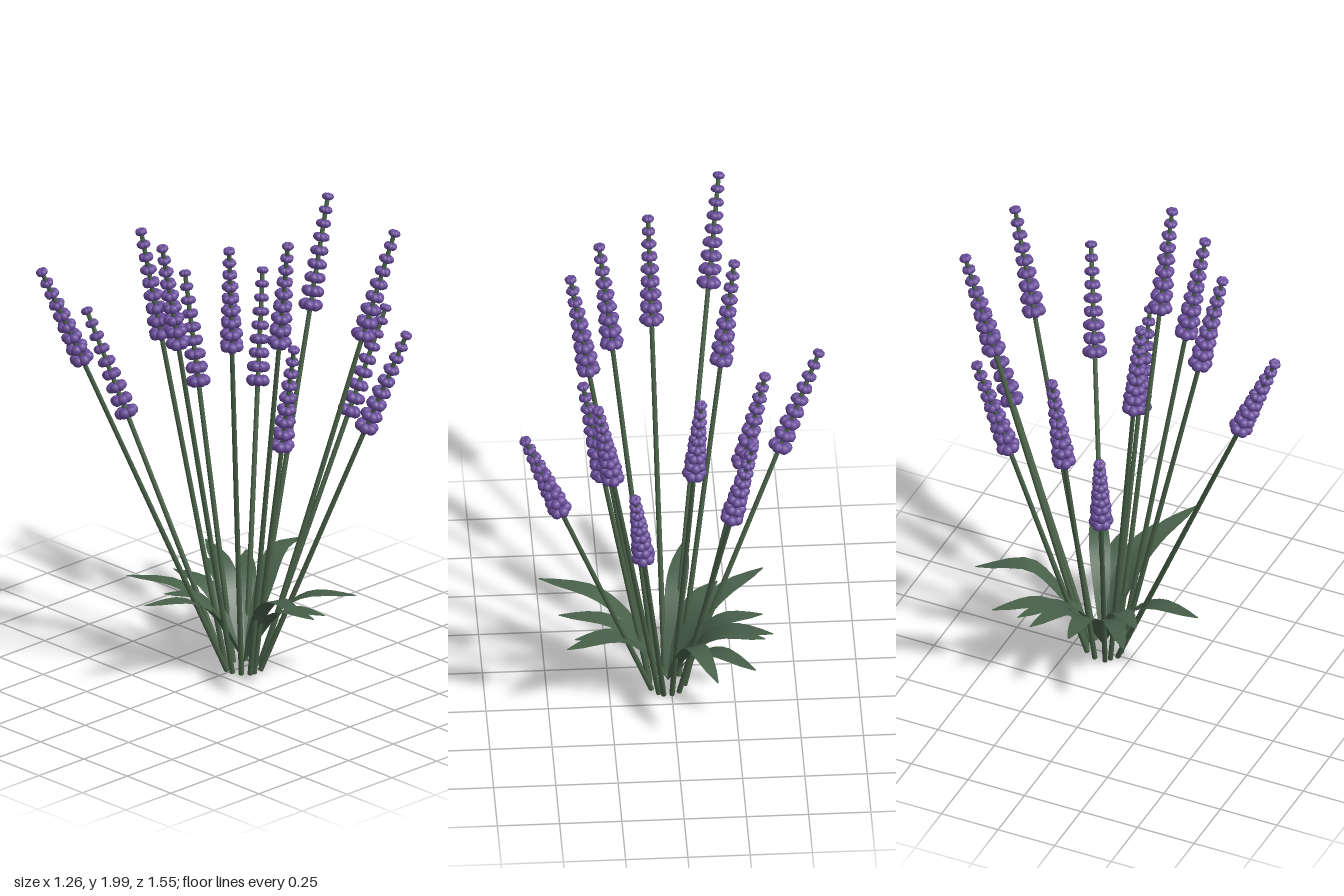
import * as THREE from 'three';

const stemGreen = new THREE.MeshStandardMaterial({ color: 0x4b6349, name: 'stem green' });
const leafGreen = new THREE.MeshStandardMaterial({ color: 0x48604a, name: 'leaf green', side: THREE.DoubleSide });
const purple = new THREE.MeshStandardMaterial({ color: 0x694c9a, name: 'blossom purple' });

const UP = new THREE.Vector3(0, 1, 0);
const bud = new THREE.SphereGeometry(1, 10, 8);

// Each stem: foot x, foot z, tip x, tip y, tip z
const STEMS = [
  [0.0, -0.19, -0.087, 1.855, -0.688],
  [0.033, -0.19, 0.182, 1.435, -0.75],
  [0.052, -0.18, 0.325, 1.825, -0.66],
  [0.08, -0.15, 0.605, 1.525, -0.455],
  [-0.03, -0.175, -0.305, 1.515, -0.535],
  [-0.055, -0.13, -0.375, 1.585, -0.17],
  [-0.055, -0.085, -0.61, 1.445, 0.15],
  [-0.035, -0.07, -0.272, 1.895, 0.175],
  [-0.01, -0.05, -0.245, 1.895, 0.755],
  [0.022, -0.05, 0.062, 1.98, 0.38],
  [0.058, -0.065, 0.268, 1.98, 0.207],
  [0.083, -0.09, 0.395, 1.98, 0.002],
  [0.085, -0.11, 0.35, 1.495, -0.075],
];

// Each leaf: tip x, y, z and how high its shoulder sits relative to the tip
const LEAVES = [
  [-0.16, 0.38, -0.61, 1.07],
  [-0.32, 0.32, -0.46, 0.97],
  [-0.4, 0.385, -0.31, 0.93],
  [-0.37, 0.33, -0.27, 0.97],
  [-0.37, 0.325, -0.1, 0.97],
  [-0.385, 0.365, 0.15, 0.95],
  [-0.2, 0.33, 0.12, 0.97],
  [-0.085, 0.375, 0.34, 0.94],
  [0.52, 0.43, 0.05, 0.95],
  [0.45, 0.35, -0.09, 0.95],
  [0.39, 0.315, -0.21, 0.97],
  [0.43, 0.375, -0.35, 0.95],
];

// Flower spike: tapering rings of small buds stacked down from the stem tip
function makeSpike(length, turn) {
  const rings = 9, perRing = 6;
  const group = new THREE.Group();
  group.name = 'flowerSpike';
  for (let i = 0; i < rings; i++) {
    const t = i / (rings - 1);
    const ringRadius = THREE.MathUtils.lerp(0.027, 0.011, t);
    const size = THREE.MathUtils.lerp(0.0235, 0.014, t);
    for (let j = 0; j < perRing; j++) {
      const a = (j + (i % 2) / 2) / perRing * Math.PI * 2 + turn;
      const m = new THREE.Mesh(bud, purple);
      m.name = 'bud';
      m.position.set(Math.cos(a) * ringRadius, length * (t - 1), Math.sin(a) * ringRadius);
      m.scale.set(size, size * 0.95, size);
      group.add(m);
    }
  }
  return group;
}

// Straight stem with its flower spike at the top
function makeStem([fx, fz, tx, ty, tz], index) {
  const foot = new THREE.Vector3(fx, 0.005, fz);
  const axis = new THREE.Vector3(tx, ty, tz).sub(foot), length = axis.length();
  const group = new THREE.Group();
  group.name = 'flowerStem';
  const stem = new THREE.Mesh(new THREE.CylinderGeometry(0.009, 0.011, length, 8), stemGreen);
  stem.name = 'stem';
  stem.position.y = length / 2;
  const spike = makeSpike(0.445, index * 0.7);
  spike.position.y = length;
  group.add(stem, spike);
  group.position.copy(foot);
  group.quaternion.setFromUnitVectors(UP, axis.normalize());
  return group;
}

// Arching blade: cross-sections placed along a curve, level across the width
function makeLeaf([tx, ty, tz, shoulder]) {
  const base = new THREE.Vector3(0.012, 0.03, -0.125);
  const out = new THREE.Vector3(tx - base.x, 0, tz - base.z);
  const side = new THREE.Vector3().crossVectors(UP, out).normalize();
  const at = (t, h) => base.clone().addScaledVector(out, t).setY(h);
  const curve = new THREE.CatmullRomCurve3([
    base, at(0.14, ty * 0.4), at(0.33, ty * 0.74), at(0.57, ty * shoulder), at(1, ty),
  ]);
  const steps = 14, positions = [], indices = [];
  for (let i = 0; i <= steps; i++) {
    const p = curve.getPoint(i / steps);
    const reach = THREE.MathUtils.clamp(Math.hypot(p.x - base.x, p.z - base.z) / out.length(), 0, 1);
    const half = 0.003 + 0.04 * Math.pow(Math.max(0, Math.sin(Math.PI * reach)), 0.8);
    for (const s of [-1, 1]) positions.push(...p.clone().addScaledVector(side, s * half).toArray());
    if (i < steps) {
      const k = i * 2;
      indices.push(k, k + 2, k + 1, k + 1, k + 2, k + 3);
    }
  }
  const geometry = new THREE.BufferGeometry();
  geometry.setAttribute('position', new THREE.Float32BufferAttribute(positions, 3));
  geometry.setIndex(indices);
  geometry.computeVertexNormals();
  const leaf = new THREE.Mesh(geometry, leafGreen);
  leaf.name = 'leaf';
  return leaf;
}

export function createModel() {
  const plant = new THREE.Group();
  plant.name = 'floweringPlant';
  STEMS.forEach((s, i) => plant.add(makeStem(s, i)));
  LEAVES.forEach((l) => plant.add(makeLeaf(l)));
  return plant;
}
